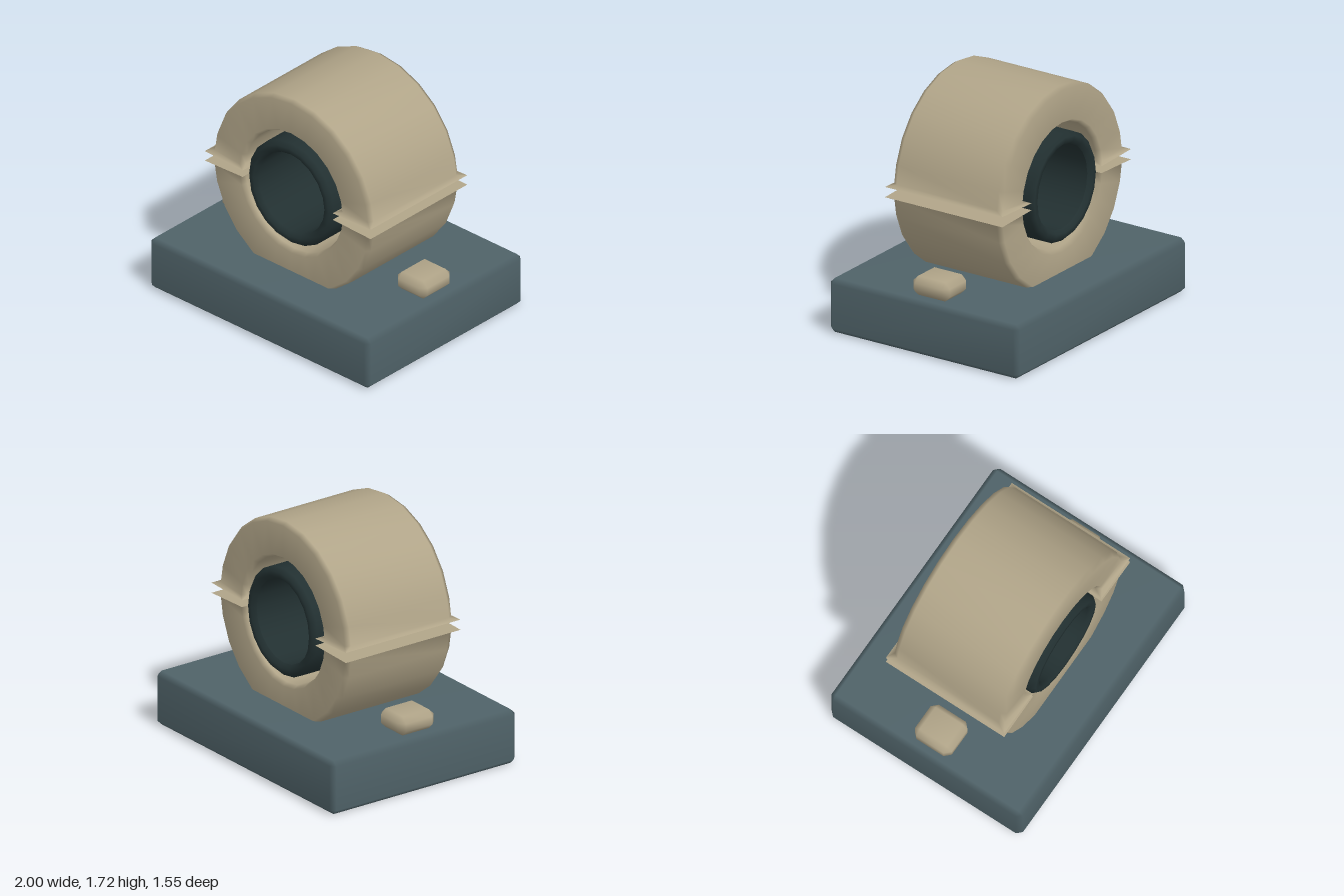
import * as THREE from 'three';
import { mergeVertices } from 'three/addons/utils/BufferGeometryUtils.js';
import { ConvexGeometry } from 'three/addons/geometries/ConvexGeometry.js';

const AXIS_Y = 1.0;

function material(name, color) {
  const m = new THREE.MeshStandardMaterial({ color });
  m.name = name;
  return m;
}

// Box with every edge chamfered by c, softly shaded
function chamferBox(w, h, d, c) {
  const half = [w / 2, h / 2, d / 2];
  const points = [];
  for (const sx of [-1, 1]) for (const sy of [-1, 1]) for (const sz of [-1, 1]) {
    for (let axis = 0; axis < 3; axis++) {
      const p = half.map((v, i) => (i === axis ? v : v - c));
      points.push(new THREE.Vector3(sx * p[0], sy * p[1], sz * p[2]));
    }
  }
  const hull = new ConvexGeometry(points);
  hull.deleteAttribute('normal');
  const g = mergeVertices(hull, 1e-4);
  g.computeVertexNormals();
  return g;
}

// Rectangle in (radius, z) with chamfered corners, counterclockwise
function section(r0, r1, z, cr, cz) {
  return [
    [r1, -z + cz], [r1, z - cz], [r1 - cr, z], [r0 + cr, z],
    [r0, z - cz], [r0, -z + cz], [r0 + cr, -z], [r1 - cr, -z],
  ];
}

// Upper half ring, swept around z, ending in thin flared flanges
function halfRing() {
  const body = section(0.447, 0.72, 0.445, 0.022, 0.035);
  const lip = section(0.41, 0.755, 0.48, 0.001, 0.001);
  const lipY = (r) => 0.025 + (r - 0.41) * 0.035;
  const lipStation = (side) => lip.map(([r, z]) => [side * r, lipY(r), z]);
  const angles = [4.5];
  for (let a = 15; a <= 165; a += 15) angles.push(a);
  angles.push(175.5);

  const stations = [lipStation(1)];
  for (const deg of angles) {
    const a = THREE.MathUtils.degToRad(deg);
    stations.push(body.map(([r, z]) => [r * Math.cos(a), r * Math.sin(a), z]));
  }
  stations.push(lipStation(-1));

  const n = body.length;
  const positions = stations.flat(2);
  const index = [];
  for (let i = 0; i < stations.length - 1; i++) {
    for (let j = 0; j < n; j++) {
      const k = (j + 1) % n;
      const a = i * n + j, b = i * n + k, c = b + n, d = a + n;
      index.push(a, d, c, a, c, b);
    }
  }
  // Flat end faces with their own vertices
  [stations[0], [...stations[stations.length - 1]].reverse()].forEach((loop) => {
    const start = positions.length / 3;
    positions.push(...loop.flat());
    for (let j = 1; j < n - 1; j++) index.push(start, start + j, start + j + 1);
  });

  const g = new THREE.BufferGeometry();
  g.setAttribute('position', new THREE.Float32BufferAttribute(positions, 3));
  g.setIndex(index);
  g.computeVertexNormals();
  return g;
}

// Hollow sleeve with chamfered rims
function sleeveGeometry() {
  const profile = [
    [0.30, -0.44], [0.325, -0.468], [0.36, -0.468], [0.387, -0.44],
    [0.387, 0.44], [0.36, 0.468], [0.325, 0.468], [0.30, 0.44], [0.30, -0.44],
  ].map(([r, y]) => new THREE.Vector2(r, y));
  return new THREE.LatheGeometry(profile, 20).rotateX(Math.PI / 2);
}

export function createModel() {
  const slate = material('slate', 0x4f6268);
  const tan = material('tan', 0xb0a488);
  const dark = material('darkSteel', 0x223031);
  const model = new THREE.Group();
  model.name = 'bearingBlock';

  function add(name, geometry, mat, x = 0, y = 0, z = 0) {
    const mesh = new THREE.Mesh(geometry, mat);
    mesh.name = name;
    mesh.position.set(x, y, z);
    model.add(mesh);
    return mesh;
  }

  // Base slab
  add('base', chamferBox(2, 0.39, 1.55, 0.034), slate, 0, 0.195, 0);

  // Two clamp halves, the lower one sunk into the base
  const half = halfRing();
  add('upperHousing', half, tan, 0, AXIS_Y, 0);
  add('lowerHousing', half, tan, 0, AXIS_Y, 0).rotation.z = Math.PI;

  // Bearing sleeve
  add('sleeve', sleeveGeometry(), dark, 0, AXIS_Y, 0);

  // Mounting pads on either side
  const pad = chamferBox(0.27, 0.137, 0.3, 0.04);
  add('leftPad', pad, tan, 0.8, 0.457, 0);
  add('rightPad', pad, tan, -0.8, 0.457, 0);

  return model;
}
